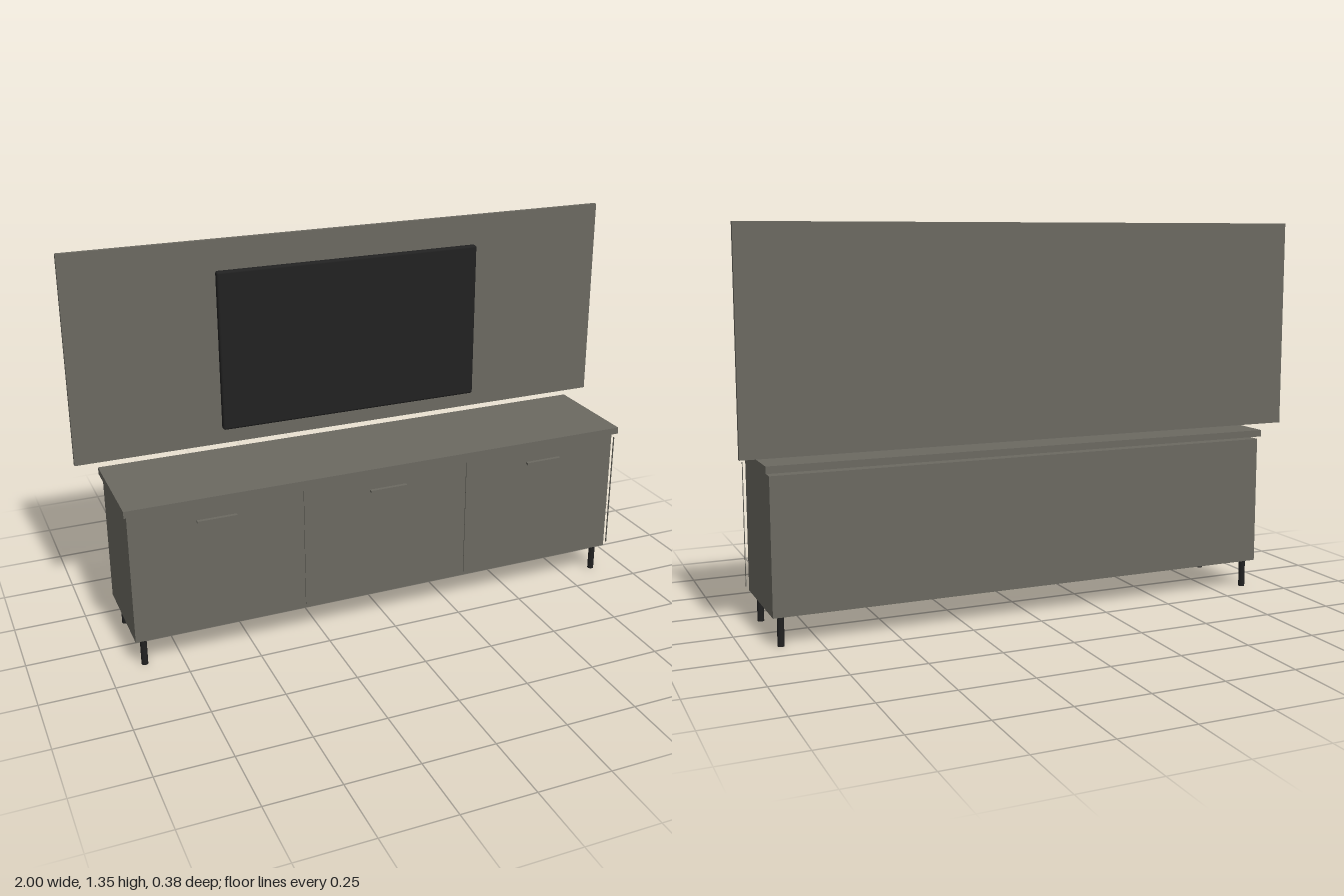
import * as THREE from 'three';
import { RoundedBoxGeometry } from 'three/addons/geometries/RoundedBoxGeometry.js';

export function createModel() {
  const model = new THREE.Group();
  model.name = 'mediaUnit';

  const material = (name, color) => {
    const m = new THREE.MeshStandardMaterial({ color });
    m.name = name;
    return m;
  };
  const greyBoard = material('warm grey board', 0x6b6961);
  const black = material('black', 0x212121);

  const add = (name, geometry, mat, x, y, z) => {
    const mesh = new THREE.Mesh(geometry, mat);
    mesh.name = name;
    mesh.position.set(x, y, z);
    model.add(mesh);
  };
  // Box given by its lower and upper corners
  const box = (name, mat, [x0, y0, z0], [x1, y1, z1]) =>
    add(name, new THREE.BoxGeometry(x1 - x0, y1 - y0, z1 - z0), mat,
      (x0 + x1) / 2, (y0 + y1) / 2, (z0 + z1) / 2);

  // Wall panel with the screen floating in front of it
  box('wallPanel', greyBoard, [-1, 0.619, -0.19], [1, 1.348, -0.175]);
  add('television', new RoundedBoxGeometry(0.97, 0.565, 0.027, 2, 0.008), black, 0, 0.963, -0.152);

  // Sideboard body and its slightly raised top
  box('cabinetBody', greyBoard, [-0.908, 0.103, -0.184], [0.908, 0.562, 0.17]);
  box('cabinetTop', greyBoard, [-0.92, 0.571, -0.19], [0.92, 0.595, 0.192]);

  // One seam strip and one handle per door
  for (let i = 0; i < 3; i++) {
    const seamX = -0.306 + i * 0.612;
    box('doorSeam', greyBoard, [seamX - 0.001, 0.117, 0.169], [seamX + 0.001, 0.549, 0.174]);
    const handleX = (i - 1) * 0.613;
    box('handle', greyBoard, [handleX - 0.068, 0.506, 0.177], [handleX + 0.068, 0.514, 0.19]);
  }

  // Round legs
  for (const x of [-0.877, 0.877]) {
    for (const z of [-0.152, 0.141]) {
      add('leg', new THREE.CylinderGeometry(0.0115, 0.0115, 0.103, 16), black, x, 0.0515, z);
    }
  }
  return model;
}
